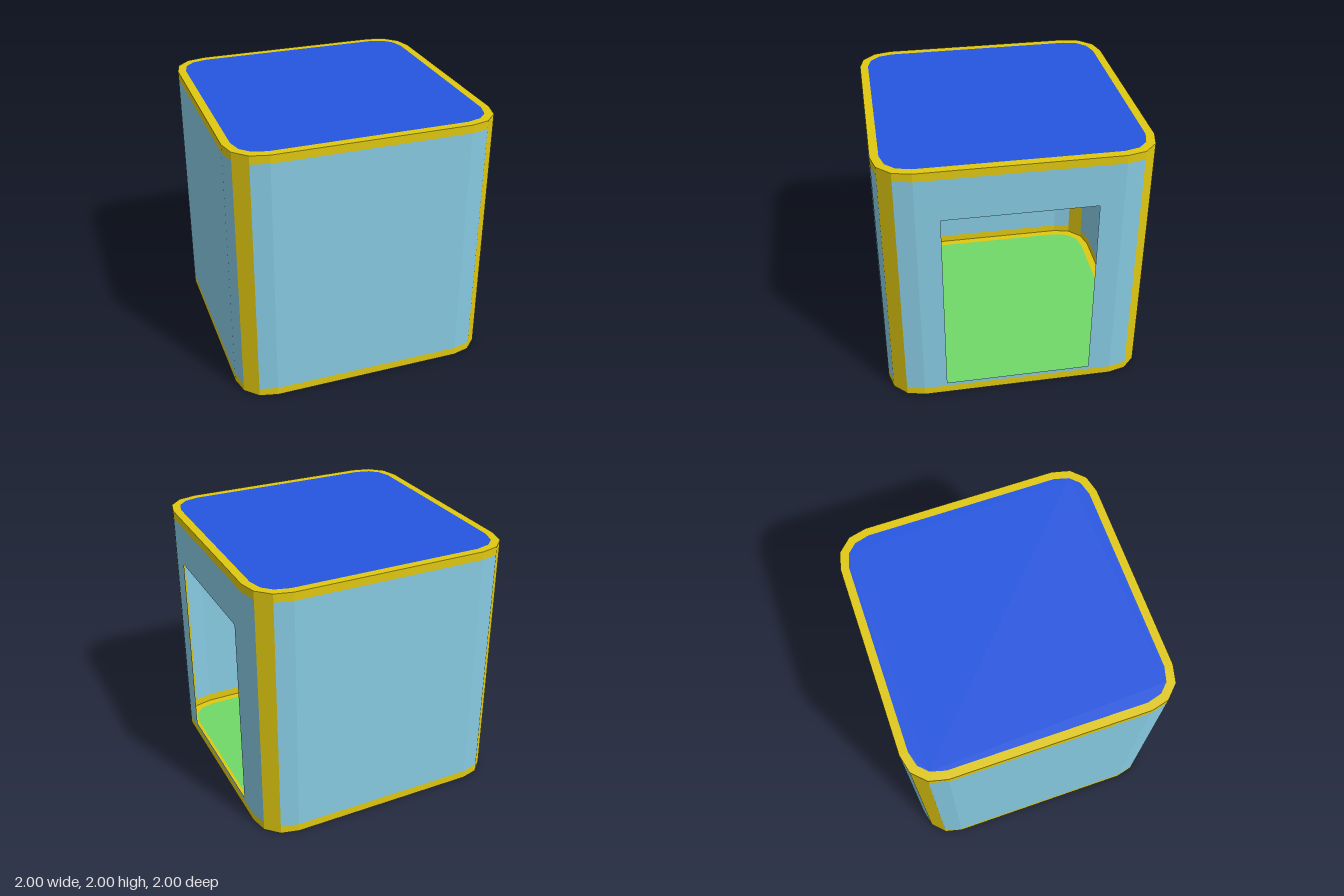
import * as THREE from 'three';

const HEIGHT = 2, TRIM = 0.063;
const material = (color) => new THREE.MeshStandardMaterial({ color, side: THREE.DoubleSide });

// Closed outline from one chamfered corner, turned round the four sides
function outline(corner) {
  const points = [];
  for (let i = 0; i < 4; i++) {
    for (const [x, y] of corner) {
      points.push(new THREE.Vector2(x, y).rotateAround(new THREE.Vector2(), i * Math.PI / 2));
    }
  }
  return points;
}

function rectangle(Type, w, y0, y1) {
  const h = w / 2;
  return new Type([[-h, y0], [h, y0], [h, y1], [-h, y1]].map(([x, y]) => new THREE.Vector2(x, y)));
}

export function createModel() {
  const model = new THREE.Group();
  const yellow = material(0xe0c810), wallBlue = material(0x87cae2);
  const roofBlue = material(0x2456e0), green = material(0x70d868);

  const outer = outline([[1, 0.735], [0.967, 0.87], [0.87, 0.967], [0.735, 1]]);
  const inner = outline([[0.937, 0.73], [0.907, 0.84], [0.84, 0.907], [0.73, 0.937]]);

  const add = (parent, name, shape, mat) => {
    const mesh = new THREE.Mesh(new THREE.ShapeGeometry(shape), mat);
    mesh.name = name;
    parent.add(mesh);
    return mesh;
  };

  // Thin wall strips round the outline, with trim along top and bottom
  outer.forEach((a, i) => {
    const b = outer[(i + 1) % outer.length];
    const width = a.distanceTo(b);
    const side = new THREE.Group();
    side.name = 'wallSection' + i;
    side.position.set((a.x + b.x) / 2, 0, -(a.y + b.y) / 2);
    side.rotation.y = Math.atan2(b.y - a.y, b.x - a.x) + Math.PI;
    // Outward normal of a counter-clockwise outline
    side.rotation.y = Math.atan2(b.y - a.y, b.x - a.x);
    model.add(side);

    if (i % 4 === 1) {
      add(side, 'cornerPost', rectangle(THREE.Shape, width, 0, HEIGHT), yellow);
      return;
    }
    add(side, 'bottomTrim', rectangle(THREE.Shape, width, 0, TRIM), yellow);
    add(side, 'topTrim', rectangle(THREE.Shape, width, HEIGHT - TRIM, HEIGHT), yellow);
    const wall = rectangle(THREE.Shape, width, TRIM, HEIGHT - TRIM);
    // Doorway in the left wall
    if (i === 15) wall.holes.push(rectangle(THREE.Path, 1.12, 0.093, 1.61));
    add(side, 'wall', wall, wallBlue);
  });

  // Floor and roof, each a panel in a flat border
  for (const [name, y, turn, mat] of [['floor', 0, 1, green], ['roof', HEIGHT, -1, roofBlue]]) {
    const border = new THREE.Shape(outer);
    border.holes.push(new THREE.Path(inner));
    for (const mesh of [
      add(model, name + 'Border', border, yellow),
      add(model, name, new THREE.Shape(inner), mat),
    ]) {
      mesh.rotation.x = turn * Math.PI / 2;
      mesh.position.y = y;
    }
  }
  return model;
}
